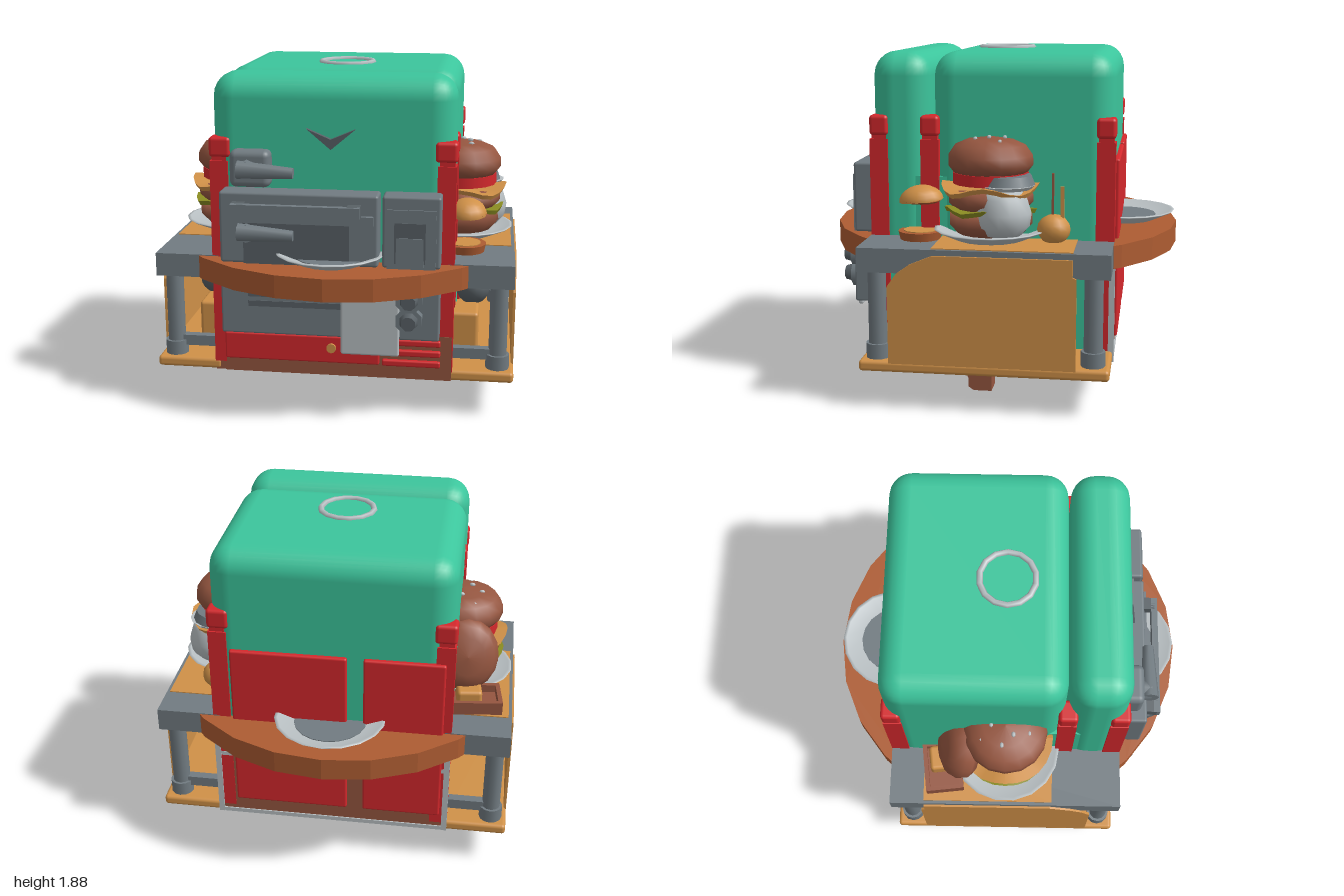
import * as THREE from 'three';
import { RoundedBoxGeometry } from 'three/addons/geometries/RoundedBoxGeometry.js';

const mat = (name, color, extra = {}) => Object.assign(new THREE.MeshStandardMaterial({ color, ...extra }), { name });

export function createModel() {
  const green = mat('mint green', 0x3cc59c);
  const red = mat('red', 0xd4282c);
  const grey = mat('steel grey', 0x717b81);
  const dark = mat('dark steel', 0x596166);
  const brown = mat('bun brown', 0x955640);
  const wood = mat('counter wood', 0xad5c32);
  const orange = mat('orange', 0xd09148);
  const white = mat('pale grey', 0xb9c0c3);
  const olive = mat('lettuce', 0x8b8d22);

  const root = new THREE.Group();
  const add = (name, geo, m, x = 0, y = 0, z = 0, parent = root) => {
    const mesh = new THREE.Mesh(geo, m);
    mesh.name = name;
    mesh.position.set(x, y, z);
    parent.add(mesh);
    return mesh;
  };
  // box from its extents
  const box = (name, m, x0, x1, y0, y1, z0, z1, r = 0, parent = root) => {
    const s = [x1 - x0, y1 - y0, z1 - z0];
    const geo = r ? new RoundedBoxGeometry(...s, 3, r) : new THREE.BoxGeometry(...s);
    return add(name, geo, m, (x0 + x1) / 2, (y0 + y1) / 2, (z0 + z1) / 2, parent);
  };
  const cyl = (name, m, r0, r1, h, n, x, y, z, parent = root) =>
    add(name, new THREE.CylinderGeometry(r0, r1, h, n), m, x, y, z, parent);
  const lathe = (pts, n = 16) => new THREE.LatheGeometry(pts.map(p => new THREE.Vector2(...p)), n);
  const extrude = (pts, depth) =>
    new THREE.ExtrudeGeometry(new THREE.Shape(pts.map(p => new THREE.Vector2(...p))), { depth, bevelEnabled: false });

  // Body shells with a groove between them
  box('rearShell', green, -0.66, 0.66, 0.6, 1.87, -0.66, 0.325, 0.13);
  box('frontShell', green, -0.66, 0.66, 0.6, 1.87, 0.335, 0.66, 0.13);
  box('lowerBody', green, -0.65, 0.65, 0.22, 1.2, -0.645, 0.645);
  box('floor', brown, -0.66, 0.66, 0.2, 0.25, -0.66, 0.66);
  const ring = add('roofRing', new THREE.TorusGeometry(0.15, 0.017, 6, 14), white, 0, 1.87, 0);
  ring.rotation.x = Math.PI / 2;

  // Red corner and middle posts with caps
  for (const s of [-1, 1]) for (const z of [0.615, 0.335, -0.615]) {
    box('post', red, s * 0.615 - 0.05, s * 0.615 + 0.05, 0.25, 1.4, z - 0.05, z + 0.05);
    box('postCap', red, s * 0.61 - 0.06, s * 0.61 + 0.06, 1.42, 1.53, z - 0.052, z + 0.052, 0.02);
    box('postNeck', red, s * 0.615 - 0.04, s * 0.615 + 0.04, 1.38, 1.44, z - 0.04, z + 0.04);
  }

  // Front drawer unit
  box('drawerFrame', brown, -0.6, 0.66, 0.2, 0.455, 0.6, 0.668);
  box('drawer', red, -0.6, 0.265, 0.28, 0.435, 0.65, 0.69, 0.01);
  for (const y of [0.295, 0.355, 0.415]) box('drawerSlat', red, 0.28, 0.6, y - 0.018, y + 0.018, 0.65, 0.69, 0.01);
  cyl('drawerKnob', orange, 0.027, 0.027, 0.03, 10, 0, 0.37, 0.69).rotation.x = Math.PI / 2;

  // Oven front, upper and lower
  box('ovenDoor', grey, -0.59, 0.265, 0.87, 1.26, 0.64, 0.785, 0.015);
  box('ovenSide', grey, 0.285, 0.595, 0.87, 1.26, 0.64, 0.78, 0.015);
  box('ovenSideBezel', grey, 0.31, 0.57, 0.87, 1.19, 0.77, 0.79);
  box('ovenSideSlot', dark, 0.35, 0.515, 0.9, 1.12, 0.786, 0.794);
  box('ovenSideTray', grey, 0.36, 0.505, 0.88, 1.04, 0.79, 0.8);
  box('ovenWindow', dark, -0.46, 0.11, 0.87, 1.13, 0.782, 0.79);
  box('ovenWindowFrame', grey, -0.52, 0.24, 1.1, 1.15, 0.78, 0.81);
  box('handleBar', grey, -0.515, 0.175, 1.15, 1.21, 0.83, 0.865);
  for (const x of [-0.48, 0.14]) box('handleMount', dark, x - 0.035, x + 0.035, 1.15, 1.21, 0.78, 0.85);
  box('lowerOven', grey, -0.59, 0.595, 0.47, 0.75, 0.64, 0.785, 0.01);
  for (const y of [0.645, 0.7]) box('ovenVent', dark, -0.44, 0.12, y - 0.016, y + 0.016, 0.78, 0.79);
  const pivot = z => { // octagonal knob facing forward
    const g = new THREE.Group();
    cyl('knobBase', grey, 0.075, 0.075, 0.05, 8, 0, 0, 0, g).rotation.set(Math.PI / 2, Math.PI / 8, 0);
    cyl('knobGrip', dark, 0.04, 0.055, 0.06, 8, 0, 0, 0.04, g).rotation.set(Math.PI / 2, Math.PI / 8, 0);
    g.name = 'knob';
    g.position.z = z;
    root.add(g);
    return g;
  };
  for (const y of [0.595, 0.71]) pivot(0.81).position.set(0.435, y, 0.81);

  // Levers
  const lever = (y, z) => {
    const grip = cyl('lever', grey, 0.03, 0.05, 0.3, 8, -0.335, y, z);
    grip.rotation.z = -Math.PI / 2 - 0.04;
    cyl('leverHub', grey, 0.05, 0.06, 0.1, 8, -0.44, y, z - 0.04).rotation.x = Math.PI / 2;
  };
  box('leverPlate', grey, -0.54, -0.32, 1.275, 1.475, 0.64, 0.75, 0.035);
  lever(1.375, 0.785);
  lever(1.04, 0.805);

  // Folded chevron badge plate and hanging towel
  add('chevron', extrude([[-0.13, 1.59], [0, 1.48], [0.13, 1.59], [0, 1.535]], 0.035), dark, 0, 0, 0.655);
  box('towel', white, 0.07, 0.385, 0.39, 0.745, 0.8, 0.83, 0.012);

  // Rear doors and lower frame
  box('rearFrame', brown, -0.64, 0.64, 0.2, 0.76, -0.663, -0.6);
  box('largeRearDoor', red, -0.09, 0.55, 0.31, 1.3, -0.685, -0.63, 0.012);
  box('smallRearDoor', red, -0.62, -0.18, 0.31, 1.3, -0.685, -0.63, 0.012);
  for (const s of [-1, 1]) box('rearTrim', white, s * 0.65 - 0.016, s * 0.65 + 0.016, 0.2, 0.75, -0.672, -0.64);
  box('rearTrimBottom', white, -0.65, 0.65, 0.2, 0.225, -0.67, -0.64);
  box('rearTrimMiddle', white, -0.65, 0.65, 0.6, 0.625, -0.668, -0.64);

  // Half-round counters, front and rear, with plates
  const arc = [];
  for (let i = 3; i <= 21; i++) arc.push([Math.cos(i * Math.PI / 24), Math.sin(i * Math.PI / 24)]);
  const seg = [[0.74, 0.6], [0.74, 0.668]];
  for (let i = 0; i <= 6; i++) {
    const a = Math.PI / 4 + i * Math.PI / 12;
    seg.push([Math.cos(a), Math.sin(a)]);
  }
  seg.push([-0.74, 0.668], [-0.74, 0.6]);
  const plateGeo = lathe([[0, 0.005], [0.19, 0.005], [0.3, 0.055], [0.308, 0.062], [0.29, 0.064], [0.2, 0.03], [0, 0.03]], 18);
  for (const r of [0, Math.PI]) {
    const counter = new THREE.Group();
    counter.name = 'counter';
    counter.rotation.y = r;
    root.add(counter);
    add('counterTop', extrude(seg, 0.125), wood, 0, 0.865, 0, counter).rotation.x = Math.PI / 2;
    add('plate', plateGeo, white, 0, 0.868, 0.68, counter);
    cyl('plateWell', grey, 0.2, 0.2, 0.006, 18, 0, 0.899, 0.68, counter);
  }

  // Side tables
  const drape = extrude([[-0.5, 0.25], [0.49, 0.25], [0.49, 0.74], [0.47, 0.75], [0.47, 0.84], [-0.26, 0.84],
    [-0.38, 0.79], [-0.45, 0.74], [-0.5, 0.67]], 0.014);
  for (const s of [-1, 1]) {
    const span = (a, b) => (s > 0 ? [a, b] : [-b, -a]);
    box('sideTable', grey, ...span(0.63, 0.988), 0.74, 0.87, -0.665, 0.665);
    box('sideBase', orange, ...span(0.63, 1), 0.2, 0.26, -0.665, 0.665, 0.02);
    box('tableCloth', orange, ...span(0.66, 0.97), 0.868, 0.875, -0.47, 0.27);
    add('sideCurtain', drape, orange, s > 0 ? 1 : -0.986, 0, 0).rotation.y = Math.PI / 2;
    root.children.at(-1).position.x = s > 0 ? 0.986 : -1;
    for (const z of [-0.575, 0.575]) {
      cyl('tableLeg', grey, 0.05, 0.05, 0.5, 12, s * 0.91, 0.5, z);
      cyl('legCollar', grey, 0.065, 0.065, 0.08, 12, s * 0.91, 0.3, z);
      cyl('legFoot', dark, 0.04, 0.04, 0.01, 12, s * 0.91, 0.197, z);
      box('legRail', grey, ...span(0.64, 0.91), 0.31, 0.37, z - 0.025, z + 0.025);
    }
    box('crate', orange, ...span(0.64, 0.8), 0.26, 0.53, 0.26, 0.47, 0.02);
    add('pot', new THREE.SphereGeometry(0.1, 14, 10), dark, s * 0.76, 0.6, 0.2);
  }
  drape.scale(1, 1, 1);

  // Feet joined by a beam
  const foot = extrude([[-0.335, 0.21], [-0.335, 0.14], [-0.2, 0.135], [-0.15, 0.11], [-0.13, 0.07], [-0.13, 0.02],
    [-0.1, 0], [0, 0], [0, 0.21]], 0.13);
  for (const x of [-0.665, 0.535]) add('foot', foot, brown, x, 0, 0).rotation.y = Math.PI / 2;
  box('footBeam', brown, -0.56, 0.56, 0.14, 0.21, 0.03, 0.3);

  // Burgers: stacked lathes, wavy lettuce and a square of cheese
  const wavy = (r, h, n, amp) => {
    const g = new THREE.CylinderGeometry(r, r * 0.95, h, 24), p = g.attributes.position;
    for (let i = 0; i < p.count; i++) {
      const a = Math.atan2(p.getZ(i), p.getX(i));
      if (Math.hypot(p.getX(i), p.getZ(i)) > 0.1) p.setY(i, p.getY(i) + amp * Math.cos(n * a));
    }
    g.computeVertexNormals();
    return g;
  };
  const bunPts = [[0, 0], [0.2, 0], [0.23, 0.04], [0.228, 0.09], [0.19, 0.145], [0.12, 0.175], [0, 0.188]];
  const burger = x => {
    const g = new THREE.Group();
    g.name = 'burger';
    g.position.set(x, 0, 0);
    root.add(g);
    add('sidePlate', plateGeo, white, 0, 0.87, 0, g);
    add('bottomBun', lathe([[0, 0], [0.18, 0], [0.225, 0.05], [0.225, 0.12], [0, 0.13]]), brown, 0, 0.91, 0, g);
    add('lettuce', wavy(0.25, 0.025, 6, 0.012), olive, 0, 1.04, 0, g);
    add('patty', lathe([[0, 0], [0.2, 0], [0.23, 0.03], [0.23, 0.07], [0.2, 0.1], [0, 0.1]]), brown, 0, 1.05, 0, g);
    add('cheese', wavy(0.265, 0.025, 4, 0.022), orange, 0, 1.15, 0, g);
    cyl('tomato', red, 0.205, 0.205, 0.06, 16, 0, 1.21, 0, g);
    add('topBun', lathe(bunPts), brown, 0, 1.24, 0, g);
    for (let i = 0; i < 9; i++) {
      const a = i * 2.4, r = 0.05 + 0.014 * i;
      const y = 1.432 - 1.5 * r * r - (r > 0.12 ? (r - 0.12) * 0.3 : 0);
      add('seed', new THREE.SphereGeometry(0.017, 6, 4), white, r * Math.cos(a), y, r * Math.sin(a), g).scale.set(1, 0.7, 0.7);
    }
  };
  burger(0.67);
  burger(-0.67);

  // Right table: cup, dip, pastry and snack pot with sticks
  add('cup', lathe([[0, 0], [0.1, 0], [0.145, 0.05], [0.155, 0.12], [0.13, 0.2], [0.1, 0.25], [0, 0.25]]), white, 0.785, 0.92, -0.08);
  cyl('cupRim', white, 0.15, 0.13, 0.02, 14, 0.77, 1.175, -0.1);
  cyl('cupLid', grey, 0.13, 0.15, 0.05, 14, 0.75, 1.21, -0.1);
  cyl('dipDish', wood, 0.12, 0.11, 0.045, 14, 0.71, 0.893, 0.38);
  cyl('dip', orange, 0.09, 0.09, 0.006, 14, 0.71, 0.917, 0.38);
  const pastry = add('pastry', new THREE.SphereGeometry(0.12, 14, 6, 0, Math.PI * 2, 0, Math.PI / 2), orange, 0.72, 1.08, 0.37);
  pastry.scale.set(0.9, 0.7, 1);
  pastry.rotation.x = 0.1;
  cyl('pastryBase', wood, 0.11, 0.09, 0.012, 14, 0.72, 1.078, 0.37);
  add('snackPot', new THREE.SphereGeometry(0.09, 12, 8), orange, 0.71, 0.94, -0.345).scale.y = 0.9;
  box('orangeStick', orange, 0.7, 0.72, 0.98, 1.17, -0.4, -0.38);
  box('redStick', brown, 0.7, 0.712, 0.98, 1.24, -0.345, -0.333);

  // Left table: tray with snack and a leaning bun
  const tray = new THREE.Group();
  tray.name = 'tray';
  tray.position.set(-0.78, 0.875, -0.36);
  tray.rotation.y = 0.12;
  root.add(tray);
  box('trayBase', brown, -0.14, 0.14, 0, 0.03, -0.1, 0.1, 0, tray);
  for (const s of [-1, 1]) {
    box('trayWall', brown, -0.14, 0.14, 0, 0.075, s * 0.095 - 0.012, s * 0.095 + 0.012, 0, tray);
    box('trayEnd', brown, s * 0.13 - 0.012, s * 0.13 + 0.012, 0, 0.075, -0.1, 0.1, 0, tray);
  }
  box('traySnack', orange, -0.03, 0.11, 0.02, 0.12, -0.07, 0.07, 0.02, tray);
  const lean = add('leaningBun', lathe(bunPts), brown, -0.7, 1.12, -0.2);
  lean.rotation.set(-1.25, 0, 0.15);
  lean.scale.set(0.8, 0.9, 0.9);

  return root;
}
